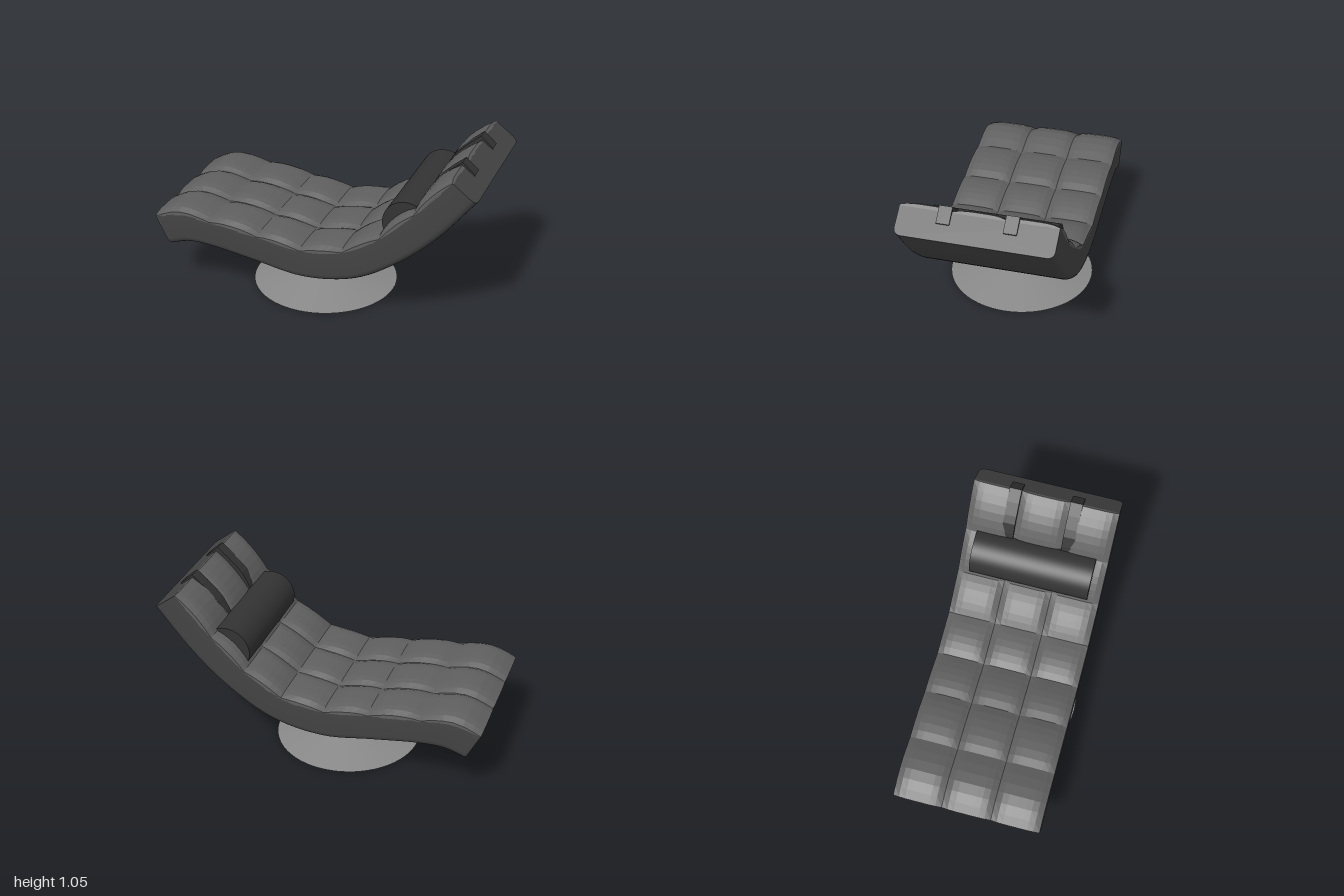
import * as THREE from 'three';
import { toCreasedNormals } from 'three/addons/utils/BufferGeometryUtils.js';

const HALF = 0.447; // half width of the lounger
const curve = (pts) => new THREE.CatmullRomCurve3(pts.map(([x, y]) => new THREE.Vector3(x, y, 0)));

// Matching upper and lower side profiles, foot to head
const upper = curve([[-1, 0.46], [-0.83, 0.502], [-0.64, 0.487], [-0.33, 0.45], [-0.055, 0.413],
  [0.21, 0.457], [0.44, 0.593], [0.64, 0.785], [0.857, 1.027]]);
const lower = curve([[-0.91, 0.28], [-0.79, 0.316], [-0.645, 0.316], [-0.36, 0.275], [-0.04, 0.23],
  [0.28, 0.287], [0.55, 0.448], [0.77, 0.647], [0.995, 0.922]]);
const SEAMS = [0, 2, 3, 4, 5, 6, 7, 8].map((k) => k / 8); // cushion row borders

// Surface from a grid of points
function gridGeometry(ni, nj, point) {
  const pos = [], idx = [];
  for (let i = 0; i < ni; i++) for (let j = 0; j < nj; j++) pos.push(...point(i, j));
  for (let i = 0; i < ni - 1; i++) for (let j = 0; j < nj - 1; j++) {
    const a = i * nj + j, c = a + nj;
    idx.push(a, a + 1, c, a + 1, c + 1, c);
  }
  const g = new THREE.BufferGeometry();
  g.setAttribute('position', new THREE.Float32BufferAttribute(pos, 3));
  g.setIndex(idx);
  g.computeVertexNormals();
  return g;
}

// Curved shell: box section with rounded lower edges, swept along the profiles
function shellGeometry() {
  const right = [[HALF, 1], [HALF, 0.22]];
  for (let k = 1; k <= 4; k++) {
    const a = (k / 4) * Math.PI / 2;
    right.push([HALF - 0.04 * (1 - Math.cos(a)), 0.22 * (1 - Math.sin(a))]);
  }
  const left = right.map(([z, w]) => [-z, w]).reverse();
  const section = [[-HALF, 1], ...right, ...left];
  const n = 48;
  return toCreasedNormals(gridGeometry(n + 3, section.length, (i, j) => {
    const cap = i === 0 || i === n + 2;
    const t = THREE.MathUtils.clamp((i - 1) / n, 0, 1);
    const [z, w] = cap ? [0, 0.5] : section[j]; // end rings close to the middle
    const p = lower.getPoint(t).lerp(upper.getPoint(t), w);
    return [p.x, p.y, z];
  }), 0.6);
}

// Sample lines over a row of pads, with a skirt line at either end
function padLines(borders, steps) {
  const lines = [];
  for (let k = 0; k < borders.length - 1; k++) {
    for (let s = k ? 1 : 0; s <= steps; s++) {
      const f = s / steps;
      lines.push({ at: THREE.MathUtils.lerp(borders[k], borders[k + 1], f), u: 2 * f - 1 });
    }
  }
  const skirt = (l) => ({ ...l, skirt: true });
  return [skirt(lines[0]), ...lines, skirt(lines[lines.length - 1])];
}

// Tufted upholstery: three columns of pads, dipping to buttons at the corners
function upholsteryGeometry() {
  const rows = padLines(SEAMS, 6);
  const cols = padLines([-HALF, -0.15, 0.15, HALF], 8);
  return gridGeometry(rows.length, cols.length, (i, j) => {
    const r = rows[i], c = cols[j];
    const puffU = 1 - r.u ** 2, puffV = 1 - c.u ** 4;
    const h = r.skirt || c.skirt ? -0.005 : 0.002 + 0.015 * puffV + 0.018 * puffU + 0.013 * puffU * puffV;
    const p = upper.getPoint(r.at);
    const normal = p.clone().sub(lower.getPoint(r.at)).normalize();
    p.addScaledVector(normal, h);
    return [p.x, p.y, c.at];
  });
}

// Strap running from the head roll over the head end
function strapGeometry() {
  const outline = [[0.63, 0.79], [0.65, 0.835], [0.685, 0.9], [0.72, 0.94], [0.78, 0.998], [0.845, 1.053],
    [0.922, 0.987], [0.91, 0.965], [0.845, 1.02], [0.79, 0.97], [0.74, 0.92], [0.7, 0.87], [0.66, 0.79]];
  const shape = new THREE.Shape(outline.map(([x, y]) => new THREE.Vector2(x, y)));
  return new THREE.ExtrudeGeometry(shape, { depth: 0.075, bevelEnabled: false }).translate(0, 0, -0.0375);
}

export function createModel() {
  const group = new THREE.Group();
  const mat = (color, extra) => new THREE.MeshStandardMaterial({ color, ...extra });
  const leather = mat(0x444444), trim = mat(0x333333), metal = mat(0x888888);
  const add = (name, geometry, material, x = 0, y = 0, z = 0) => {
    const mesh = new THREE.Mesh(geometry, material);
    mesh.name = name;
    mesh.position.set(x, y, z);
    group.add(mesh);
    return mesh;
  };

  add('shell', shellGeometry(), leather);
  add('tuftedUpholstery', upholsteryGeometry(), mat(0x606060, { flatShading: true }));

  // Half-round head roll resting on the upholstery
  const roll = new THREE.CylinderGeometry(0.145, 0.145, 0.745, 32, 1, false, 0, Math.PI);
  roll.rotateX(Math.PI / 2).rotateZ(2.28);
  add('headRoll', roll, trim, 0.575, 0.675, 0);

  for (const side of [-1, 1]) add(side > 0 ? 'frontStrap' : 'backStrap', strapGeometry(), trim, 0, 0, side * 0.187);

  // Pedestal
  add('column', new THREE.CylinderGeometry(0.05, 0.05, 0.2, 32), metal, -0.065, 0.18, 0);
  add('base', new THREE.CylinderGeometry(0.05, 0.447, 0.09, 64), metal, -0.065, 0.045, 0);
  return group;
}
